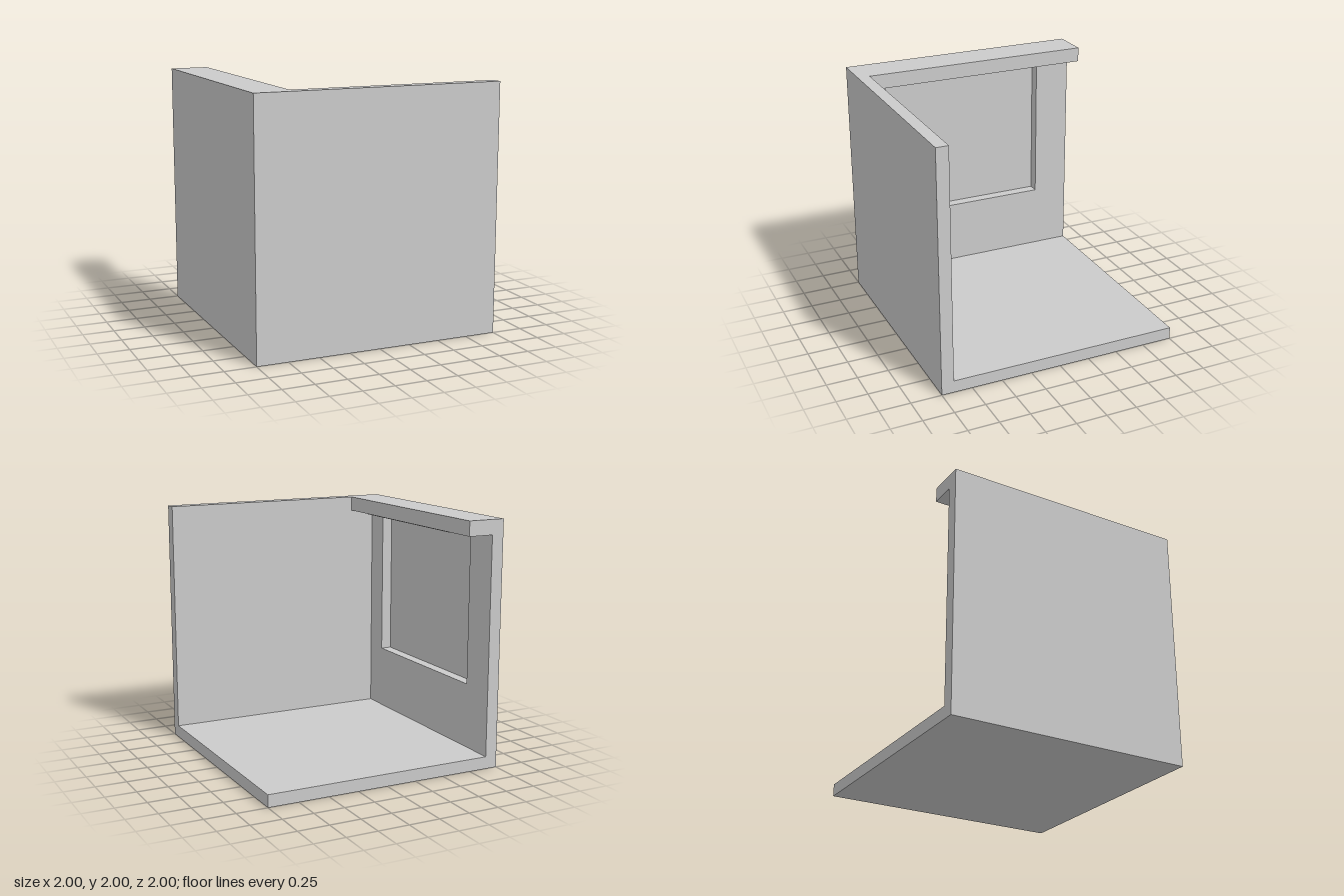
import * as THREE from 'three';

const material = new THREE.MeshStandardMaterial({ color: 0xcccccc, flatShading: true });

// Box given by its two opposite corners
function box(name, [x0, y0, z0], [x1, y1, z1]) {
  const mesh = new THREE.Mesh(new THREE.BoxGeometry(x1 - x0, y1 - y0, z1 - z0), material);
  mesh.position.set((x0 + x1) / 2, (y0 + y1) / 2, (z0 + z1) / 2);
  mesh.name = name;
  return mesh;
}

export function createModel() {
  const model = new THREE.Group();
  model.name = 'roomCorner';

  const inner = 0.9;      // inner face of the walls
  const floorTop = 0.1;
  const ceiling = 1.88;   // underside of the ceiling strip
  const sill = 0.63;      // bottom of the wall niche
  const nicheEnd = 0.7;   // half length of the niche
  const nicheBack = -0.99;

  // Floor, front wall and ceiling strip
  model.add(
    box('floor', [-1, 0, -1], [1, floorTop, inner]),
    box('frontWall', [-1, 0, inner], [1, 2, 1]),
    box('ceilingStrip', [-1, ceiling, -1], [-0.69, 2, inner])
  );

  // Side wall built around a shallow niche
  const sideWall = new THREE.Group();
  sideWall.name = 'sideWall';
  sideWall.add(
    box('wallBelowNiche', [-1, floorTop, -1], [-inner, sill, inner]),
    box('wallBehindNiche', [-1, sill, -nicheEnd], [nicheBack, ceiling, nicheEnd]),
    box('wallNicheBackEnd', [-1, sill, -1], [-inner, ceiling, -nicheEnd]),
    box('wallNicheFrontEnd', [-1, sill, nicheEnd], [-inner, ceiling, inner])
  );
  model.add(sideWall);

  // Thin light panel under the ceiling strip
  model.add(box('ceilingLight', [-0.87, 1.87, -0.66], [-0.72, ceiling, 0.66]));

  return model;
}
